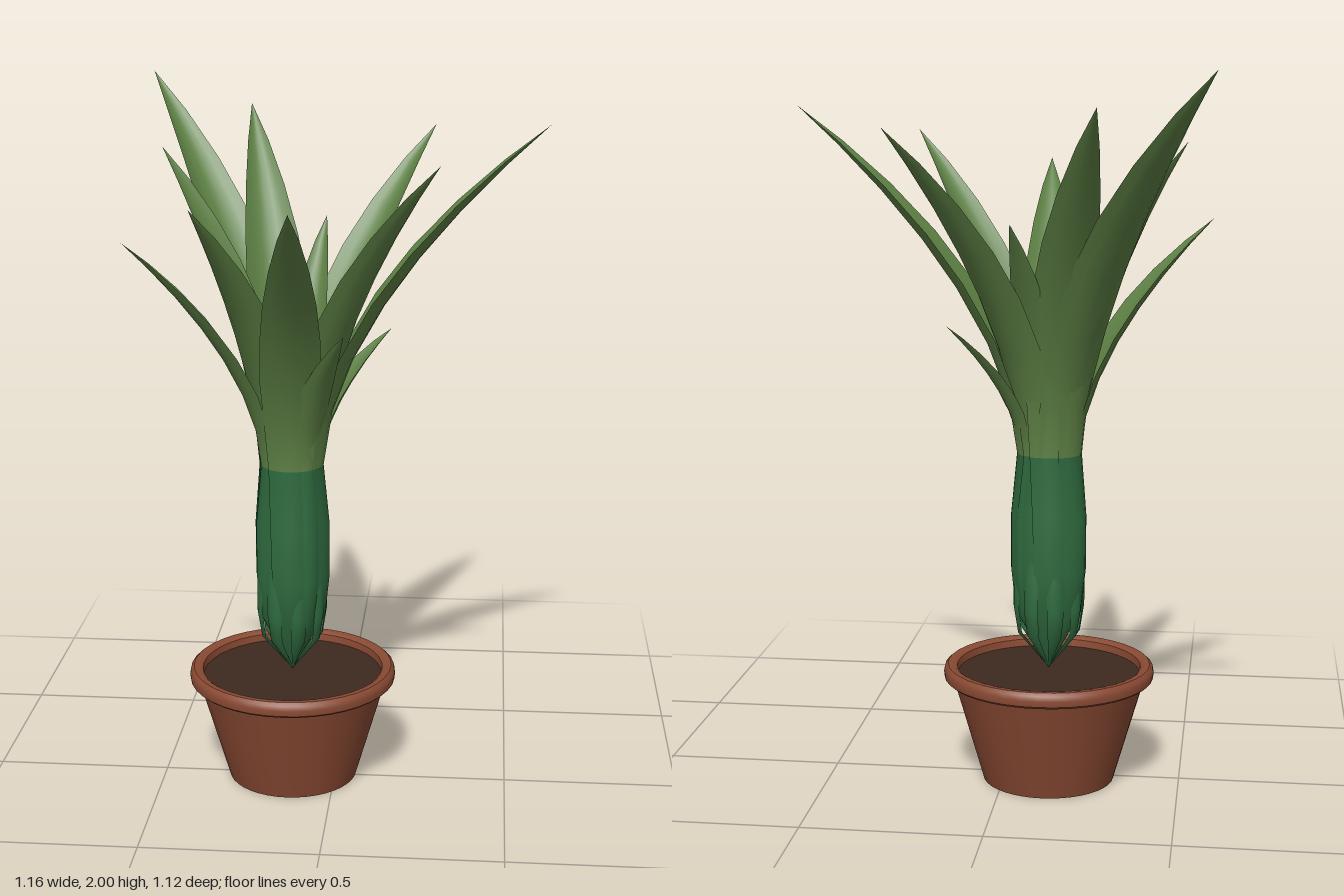
import * as THREE from 'three';
import { toCreasedNormals } from 'three/addons/utils/BufferGeometryUtils.js';

const CX = -0.125, CZ = -0.02; // plant axis
const COLS = 6;

// Lower leaf rows: [fraction of sheath height, radius, half-width factor]
const SHEATH = [[0, 0.0, 0.04], [0.27, 0.085, 0.55], [0.47, 0.097, 0.66], [0.72, 0.097, 0.7]];
// Blade rows: [fraction of blade height, half-width factor]
const BLADE = [[0, 0.75], [0.16, 0.88], [0.32, 1], [0.48, 0.96], [0.62, 0.84], [0.76, 0.62], [0.89, 0.33], [1, 0]];

const sheathMat = new THREE.MeshStandardMaterial({ color: 0x2f6b3f, side: THREE.DoubleSide });
const bladeMat = new THREE.MeshStandardMaterial({ color: 0x5d8044, side: THREE.DoubleSide });
const terracotta = new THREE.MeshStandardMaterial({ color: 0x8a4a33 });
const soilMat = new THREE.MeshStandardMaterial({ color: 0x3d2a20 });

// Channelled leaf that hugs the stem, then arches out to its tip
function leafGeometry(reach, tipY, halfWidth, neckY = 0.95, bulge = 1) {
  const base = 0.325, neckR = 0.082 * bulge;
  const rows = SHEATH.map(([k, r, w]) => [r * bulge, base + (neckY - base) * k, w * halfWidth]);
  for (const [h, w] of BLADE) {
    rows.push([neckR + (reach - neckR) * h ** 1.75, neckY + (tipY - neckY) * h, w * halfWidth]);
  }
  const pos = [], index = [];
  rows.forEach(([r, y, w], i) => {
    const a = rows[Math.max(i - 1, 0)], b = rows[Math.min(i + 1, rows.length - 1)];
    const len = Math.hypot(b[0] - a[0], b[1] - a[1]);
    const nr = -(b[1] - a[1]) / len, ny = (b[0] - a[0]) / len; // towards the axis
    for (let j = 0; j <= COLS; j++) {
      const u = (j / COLS) * 2 - 1;
      const lift = 0.42 * w * u * u;
      pos.push(r + nr * lift, y + ny * lift, u * w);
      if (i && j) {
        const p = i * (COLS + 1) + j, q = p - COLS - 1;
        index.push(q - 1, p - 1, q, q, p - 1, p);
      }
    }
  });
  const geo = new THREE.BufferGeometry();
  geo.setAttribute('position', new THREE.Float32BufferAttribute(pos, 3));
  geo.setIndex(index);
  geo.computeVertexNormals();
  // Darker sheath below, lighter blade above
  const split = SHEATH.length * COLS * 6;
  geo.addGroup(0, split, 0);
  geo.addGroup(split, index.length - split, 1);
  return geo;
}

function lathe(name, points, material) {
  const geo = new THREE.LatheGeometry(points.map(([x, y]) => new THREE.Vector2(x, y)), 40);
  const mesh = new THREE.Mesh(toCreasedNormals(geo, 0.7), material);
  mesh.name = name;
  return mesh;
}

export function createModel() {
  const model = new THREE.Group();
  model.name = 'pottedPlant';

  // Pot with rolled rim, and soil
  const pot = new THREE.Group();
  pot.name = 'pot';
  pot.position.set(CX, 0, CZ);
  pot.add(lathe('potBody', [[0, 0], [0.187, 0], [0.274, 0.3]], terracotta));
  pot.add(lathe('potRim', [
    [0.27, 0.295], [0.29, 0.295], [0.298, 0.302], [0.3, 0.318], [0.297, 0.332],
    [0.288, 0.34], [0.272, 0.34], [0.262, 0.333], [0.258, 0.3],
  ], terracotta));
  const soil = new THREE.Mesh(new THREE.CircleGeometry(0.262, 40), soilMat);
  soil.name = 'soil';
  soil.rotation.x = -Math.PI / 2;
  soil.position.y = 0.312;
  pot.add(soil);
  model.add(pot);

  // Arching leaves: tip x, y, z and half-width
  const tips = [
    [-0.585, 2.0, -0.56, 0.095], [-0.29, 1.91, -0.53, 0.092], [0.58, 1.91, -0.02, 0.088],
    [0.26, 1.86, -0.475, 0.088], [0.295, 1.84, 0.31, 0.088], [-0.07, 1.75, 0.555, 0.085],
    [-0.345, 1.73, 0.37, 0.08], [-0.57, 1.6, 0.12, 0.078], [-0.505, 1.82, -0.2, 0.085],
    [-0.05, 1.61, -0.335, 0.06], [0.15, 1.32, -0.145, 0.056], [0.04, 1.37, 0.21, 0.056],
  ];
  const foliage = new THREE.Group();
  foliage.name = 'foliage';
  foliage.position.set(CX, 0, CZ);
  tips.forEach(([x, y, z, w], i) => {
    const leaf = new THREE.Mesh(
      leafGeometry(Math.hypot(x - CX, z - CZ), y, w, 0.95, 1 + 0.06 * (i % 3)), [sheathMat, bladeMat]);
    leaf.name = 'leaf';
    leaf.rotation.y = -Math.atan2(z - CZ, x - CX);
    foliage.add(leaf);
  });

  // Short narrow leaves wrapped around the stem
  for (let i = 0; i < 8; i++) {
    const leaf = new THREE.Mesh(
      leafGeometry(0.084, 0.94 + 0.04 * (i % 3), 0.036, 0.72, 1.05), [sheathMat, sheathMat]);
    leaf.name = 'stemLeaf';
    leaf.rotation.y = (i / 8) * Math.PI * 2 + 0.3;
    foliage.add(leaf);
  }
  model.add(foliage);
  return model;
}
